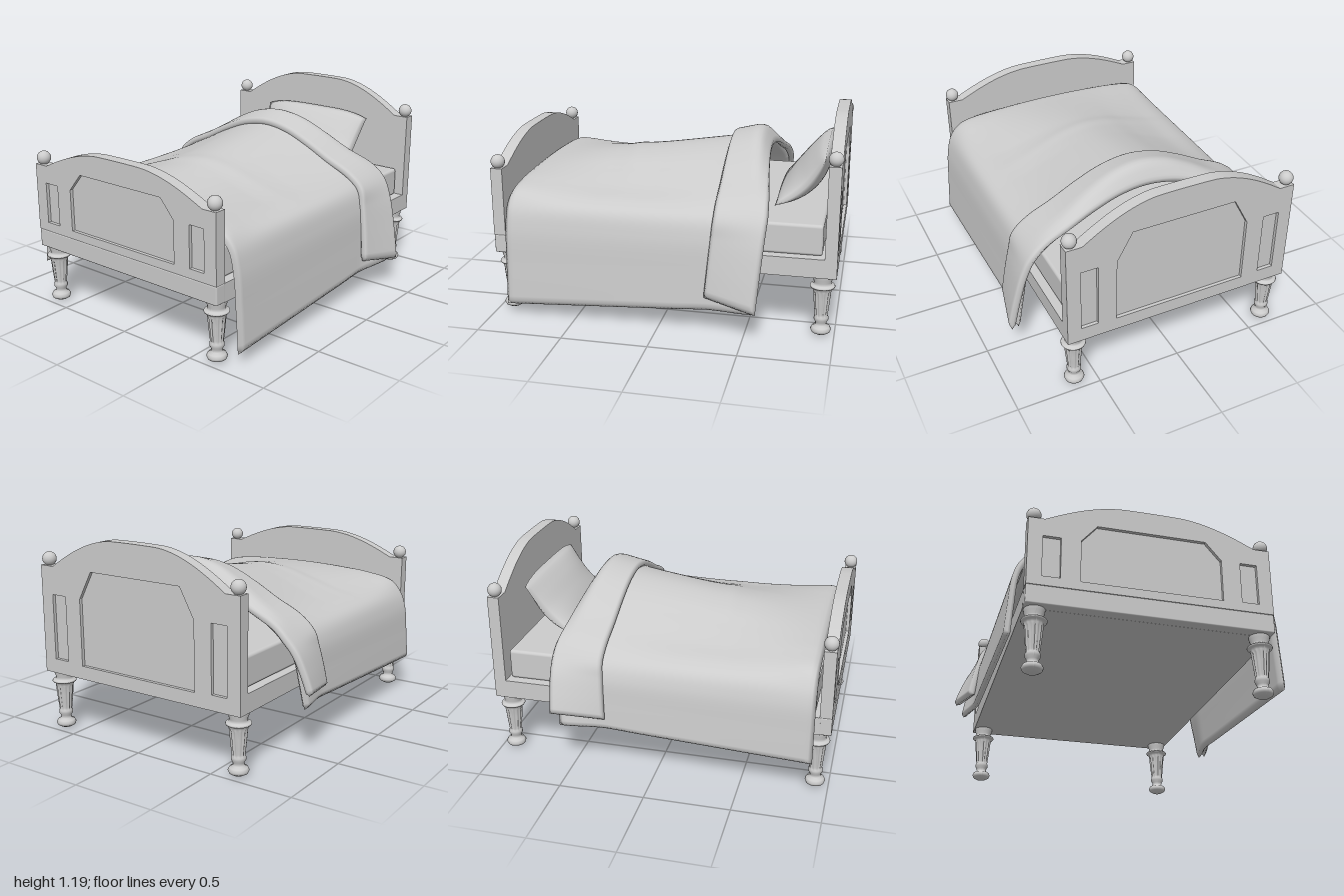
import * as THREE from 'three';
import { mergeVertices } from 'three/addons/utils/BufferGeometryUtils.js';
import { RoundedBoxGeometry } from 'three/addons/geometries/RoundedBoxGeometry.js';

const material = new THREE.MeshStandardMaterial({ color: 0xcccccc });
const { lerp, clamp, smoothstep } = THREE.MathUtils;

function add(parent, name, geometry, x = 0, y = 0, z = 0) {
  const mesh = new THREE.Mesh(geometry, material);
  mesh.name = name;
  mesh.position.set(x, y, z);
  parent.add(mesh);
  return mesh;
}

// Closed padded sheet: pos(u, v) is the middle surface, half(u, v) its half thickness
function padded(nu, nv, pos, half) {
  const points = [], index = [], e = 0.004;
  const row = nu + 1, layer = row * (nv + 1);
  for (const side of [1, -1]) {
    for (let j = 0; j <= nv; j++) for (let i = 0; i <= nu; i++) {
      const u = i / nu, v = j / nv;
      const du = pos(Math.min(1, u + e), v).sub(pos(Math.max(0, u - e), v));
      const dv = pos(u, Math.min(1, v + e)).sub(pos(u, Math.max(0, v - e)));
      const p = pos(u, v).addScaledVector(du.cross(dv).normalize(), side * half(u, v));
      points.push(p.x, p.y, p.z);
    }
  }
  for (let j = 0; j < nv; j++) for (let i = 0; i < nu; i++) {
    const a = j * row + i, b = a + 1, c = b + row, d = a + row;
    index.push(a, b, c, a, c, d);
    index.push(layer + a, layer + c, layer + b, layer + a, layer + d, layer + c);
  }
  const g = new THREE.BufferGeometry();
  g.setAttribute('position', new THREE.Float32BufferAttribute(points, 3));
  g.setIndex(index);
  const merged = mergeVertices(g, 1e-5);
  merged.computeVertexNormals();
  return merged;
}

// Thickness falling to zero along a rounded edge
function rim(u, v, wu, wv) {
  const d = Math.min(1, Math.min(u, 1 - u) / wu, Math.min(v, 1 - v) / wv);
  return Math.sqrt(Math.max(0, 1 - (1 - d) ** 2));
}

// Along the bed: z, height of the middle ridge, sharpness of the ridge
const ridge = [[-0.6, 0.28, 1.5], [-0.5, 0.28, 1.5], [-0.3, 0.242, 1.6], [0.1, 0.182, 2.3], [0.4, 0.14, 2.2],
  [0.78, 0.085, 0.7], [0.86, 0.075, 0.5], [0.9, 0.05, 0.5], [0.92, 0.03, 0.5]];
function ridgeAt(z) {
  const i = clamp(ridge.findIndex(r => z <= r[0]), 1, ridge.length - 1);
  const [z0, h0, s0] = ridge[i - 1], [z1, h1, s1] = ridge[i];
  const t = clamp((z - z0) / (z1 - z0), 0, 1);
  return [lerp(h0, h1, t), lerp(s0, s1, t)];
}
const bump = (x, sharpness) => Math.max(0, Math.cos(Math.PI * x / 1.42)) ** sharpness;

// Point on the draped cross-section at z; lift moves it outward for the turned-down part
function drape(u, z, lift, bottoms, flare, sag) {
  const head = clamp((0.9 - z) / 1.5, 0, 1);
  const [h, sharpness] = ridgeAt(z);
  const top = x => 0.7 + lift + (h - sag) * bump(x, sharpness);
  const side = s => {
    const [foot, end] = s > 0 ? bottoms[1] : bottoms[0];
    const yb = lerp(foot, end, head);
    return [[0.762 + flare, yb], [0.748 + flare * 0.75, lerp(yb, 0.66, 0.4)],
      [0.73 + flare * 0.45, lerp(yb, 0.66, 0.78)], [0.695 + lift * 0.8, 0.65 + lift * 0.4],
      [0.63 + lift * 0.3, top(0.63) - 0.012], [0.48, top(0.48)], [0.32, top(0.32)], [0.16, top(0.16)]]
      .map(([x, y]) => new THREE.Vector3(s * x, y, z));
  };
  const curve = new THREE.CatmullRomCurve3([...side(-1), new THREE.Vector3(0, top(0), z), ...side(1).reverse()]);
  const p = curve.getPoint(u);
  const drop = clamp((0.68 - p.y) / 0.5, 0, 1);
  const nearHead = smoothstep(-z, 0.25, 0.6);
  // one faint crease across the top
  p.y += 0.006 * bump(p.x, 1.4) * Math.exp(-(((z - 0.3 + p.x * 0.1) / 0.05) ** 2));
  p.z += drop > 0 ? 0.04 * drop * smoothstep(-z, 0.1, 0.29) : 0.065 * bump(p.x, 1.4) * nearHead;
  return p;
}

// End board with arched top and three sunken panels on its +z face
function makeBoard(name, base, shoulder, archScale) {
  const group = new THREE.Group();
  group.name = name;
  const k = (shoulder - base) / 0.405;
  const py = y => base + (y - 0.47) * k;
  const arch = [[0.6, 0], [0.5, 0.046], [0.4, 0.085], [0.3, 0.114], [0.2, 0.131], [0.1, 0.135]];
  const right = arch.map(([x, y]) => new THREE.Vector2(x, shoulder + y * archScale));
  const left = right.map(p => new THREE.Vector2(-p.x, p.y)).reverse();
  const outline = () => {
    const s = new THREE.Shape();
    s.moveTo(-0.692, base);
    s.lineTo(0.692, base);
    s.lineTo(0.692, shoulder);
    s.lineTo(0.6, shoulder);
    s.splineThru([...right.slice(1), ...left]);
    s.lineTo(-0.692, shoulder);
    s.closePath();
    return s;
  };
  const hole = pts => new THREE.Path(pts.map(([x, y]) => new THREE.Vector2(x, py(y))));
  const front = outline();
  front.holes.push(hole([[-0.4, 0.52], [-0.4, 0.77], [-0.31, 0.875], [0.31, 0.875], [0.4, 0.77], [0.4, 0.52]]));
  for (const s of [-1, 1]) {
    front.holes.push(hole([[s * 0.51, 0.525], [s * 0.51, 0.77], [s * 0.61, 0.77], [s * 0.61, 0.525]]));
  }
  add(group, 'boardBacking', new THREE.ExtrudeGeometry(outline(), { depth: 0.05, bevelEnabled: false, curveSegments: 6 }));
  add(group, 'panelFrame', new THREE.ExtrudeGeometry(front, { depth: 0.02, bevelEnabled: false, curveSegments: 6 }), 0, 0, 0.05);
  for (const s of [-1, 1]) add(group, 'ballFinial', new THREE.SphereGeometry(0.041, 24, 16), s * 0.657, shoulder + 0.035, 0.035);
  return group;
}

// Turned leg, fluted along its taper
function legGeometry() {
  const profile = [[0, 0], [0.03, 0.002], [0.052, 0.015], [0.058, 0.03], [0.05, 0.046], [0.03, 0.056], [0.032, 0.075],
    [0.041, 0.09], [0.041, 0.105], [0.036, 0.112], [0.038, 0.125], [0.042, 0.16], [0.047, 0.21], [0.051, 0.255],
    [0.053, 0.27], [0.053, 0.285], [0.068, 0.288], [0.071, 0.294], [0.068, 0.3], [0.05, 0.303], [0.048, 0.32],
    [0.056, 0.34], [0.058, 0.365]].map(p => new THREE.Vector2(...p));
  const g = new THREE.LatheGeometry(profile, 48);
  const p = g.attributes.position;
  for (let i = 0; i < p.count; i++) {
    if (p.getY(i) < 0.12 || p.getY(i) > 0.26) continue;
    const angle = Math.atan2(p.getZ(i), p.getX(i));
    const f = 1 - 0.16 * (0.5 + 0.5 * Math.cos(angle * 12));
    p.setXYZ(i, p.getX(i) * f, p.getY(i), p.getZ(i) * f);
  }
  g.computeVertexNormals();
  return g;
}

export function createModel() {
  const bed = new THREE.Group();
  bed.name = 'bed';

  // Frame
  add(bed, 'bedBase', new THREE.BoxGeometry(1.384, 0.11, 1.87), 0, 0.415, 0);
  add(bed, 'footRail', new RoundedBoxGeometry(1.384, 0.11, 0.07, 3, 0.008), 0, 0.415, 0.965);
  const foot = makeBoard('footboard', 0.47, 0.875, 1);
  foot.position.z = 0.93;
  const head = makeBoard('headboard', 0.36, 1.0, 1.4);
  head.rotation.y = Math.PI;
  head.position.z = -0.93;
  bed.add(foot, head);
  const leg = legGeometry();
  for (const x of [-0.628, 0.628]) for (const z of [-0.922, 0.922]) add(bed, z > 0 ? 'frontLeg' : 'backLeg', leg, x, 0, z);

  // Mattress
  add(bed, 'mattress', new RoundedBoxGeometry(1.29, 0.18, 1.82, 4, 0.018), 0, 0.56, -0.005);

  // Plump pillow leaning on the headboard
  const spine = new THREE.CatmullRomCurve3([[0.668, -0.615], [0.72, -0.71], [0.79, -0.785], [0.885, -0.845], [0.995, -0.895]]
    .map(([y, z]) => new THREE.Vector3(0, y, z)));
  add(bed, 'pillow', padded(32, 24, (u, v) => {
    const a = u * 2 - 1, b = v * 2 - 1;
    const p = spine.getPoint(v);
    p.x = 0.01 + 0.4 * a * (1 - 0.05 * (1 - b * b));
    p.y -= 0.04 * a ** 4 * v * v;
    return p;
  }, (u, v) => 0.088 * Math.pow(Math.max(0, 16 * u * (1 - u) * v * (1 - v)), 0.6)));

  // Blanket hanging lower on its left side
  const drops = [[0.21, 0.29], [0.07, 0.16]];
  add(bed, 'blanket', padded(150, 64, (u, v) => {
    const z = lerp(0.91, -0.585, v);
    return drape(u, z, 0, drops, 0.05 * smoothstep(-z, 0.3, 0.6), 0);
  }, (u, v) => 0.018 * rim(u, v, 0.007, 0.016)));

  // Turned-down end, flaring out and rolling over at the back
  const cuffDrops = [[0.2, 0.385], [0.44, 0.18]];
  add(bed, 'turnedDownEdge', padded(120, 24, (u, v) => {
    const z = lerp(-0.31, -0.615, v);
    return drape(u, z, 0.035, cuffDrops, lerp(0.03, 0.1, v), 0.1 * smoothstep(v, 0.72, 1.05));
  }, (u, v) => 0.022 * rim(u, v, 0.012, 0.09)));

  return bed;
}
